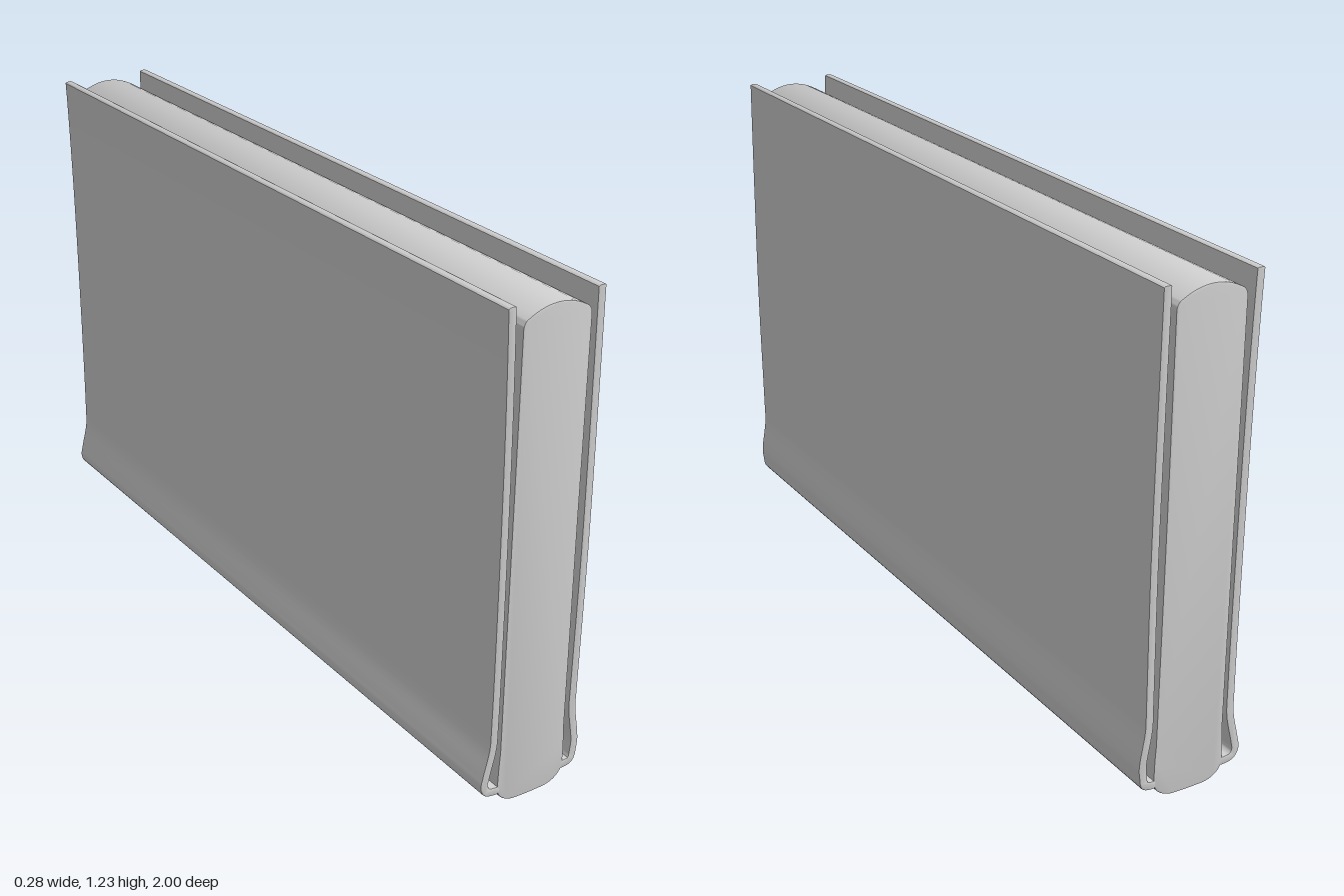
import * as THREE from 'three';
import { toCreasedNormals } from 'three/addons/utils/BufferGeometryUtils.js';

const LENGTH = 2;

// Extrudes a closed outline along z, centred, with slightly softened ends
function extrudeAlongZ(name, shape, soft, material) {
  const geometry = new THREE.ExtrudeGeometry(shape, {
    depth: LENGTH - 2 * soft, curveSegments: 10,
    bevelThickness: soft, bevelSize: soft, bevelOffset: -soft, bevelSegments: 2,
  });
  geometry.translate(0, 0, -LENGTH / 2 + soft);
  const mesh = new THREE.Mesh(toCreasedNormals(geometry, 0.6), material);
  mesh.name = name;
  return mesh;
}

// Outline of a strip of constant thickness around a smooth centre line
function stripShape(points, half) {
  const curve = new THREE.CatmullRomCurve3(
    points.map(([x, y]) => new THREE.Vector3(x, y, 0)), false, 'centripetal');
  const n = (points.length - 1) * 5;
  const sideA = [], sideB = [];
  for (let i = 0; i <= n; i++) {
    const p = curve.getPoint(i / n), t = curve.getTangent(i / n);
    // pull the first and last points in for rounded ends
    const h = i === 0 || i === n ? half * 0.6 : half;
    sideA.push(new THREE.Vector2(p.x - t.y * h, p.y + t.x * h));
    sideB.push(new THREE.Vector2(p.x + t.y * h, p.y - t.x * h));
  }
  return new THREE.Shape([...sideA, ...sideB.reverse()]);
}

// Inner block: rounded spine below, gently domed top
function blockShape() {
  const s = new THREE.Shape();
  s.moveTo(-0.045, 0.002);
  s.quadraticCurveTo(0, 0, 0.045, 0.002);
  s.quadraticCurveTo(0.085, 0.008, 0.096, 0.04);
  s.quadraticCurveTo(0.098, 0.09, 0.094, 0.14);
  s.lineTo(0.092, 0.7);
  s.lineTo(0.092, 1.17);
  s.quadraticCurveTo(0.092, 1.185, 0.08, 1.193);
  s.quadraticCurveTo(0, 1.24, -0.08, 1.193);
  s.quadraticCurveTo(-0.09, 1.185, -0.09, 1.17);
  s.lineTo(-0.09, 0.7);
  s.lineTo(-0.09, 0.14);
  s.quadraticCurveTo(-0.094, 0.09, -0.094, 0.04);
  s.quadraticCurveTo(-0.085, 0.008, -0.045, 0.002);
  return s;
}

export function createModel() {
  const model = new THREE.Group();
  model.name = 'book';
  const material = new THREE.MeshStandardMaterial({ color: 0xcccccc });

  model.add(extrudeAlongZ('pageBlock', blockShape(), 0.003, material));

  // Covers: slightly warped boards, flared hinge and foot joining the spine
  const rightCover = [
    [-0.121, 1.23], [-0.12, 1.215], [-0.114, 1.0], [-0.11, 0.7], [-0.109, 0.22],
    [-0.111, 0.16], [-0.127, 0.09], [-0.131, 0.064], [-0.121, 0.047], [-0.086, 0.041],
  ];
  const leftCover = [
    [0.115, 1.23], [0.115, 1.215], [0.117, 1.0], [0.119, 0.6], [0.115, 0.24],
    [0.115, 0.19], [0.128, 0.1], [0.126, 0.075], [0.119, 0.047], [0.088, 0.041],
  ];
  model.add(extrudeAlongZ('rightCover', stripShape(rightCover, 0.0105), 0.003, material));
  model.add(extrudeAlongZ('leftCover', stripShape(leftCover, 0.0105), 0.003, material));
  return model;
}
